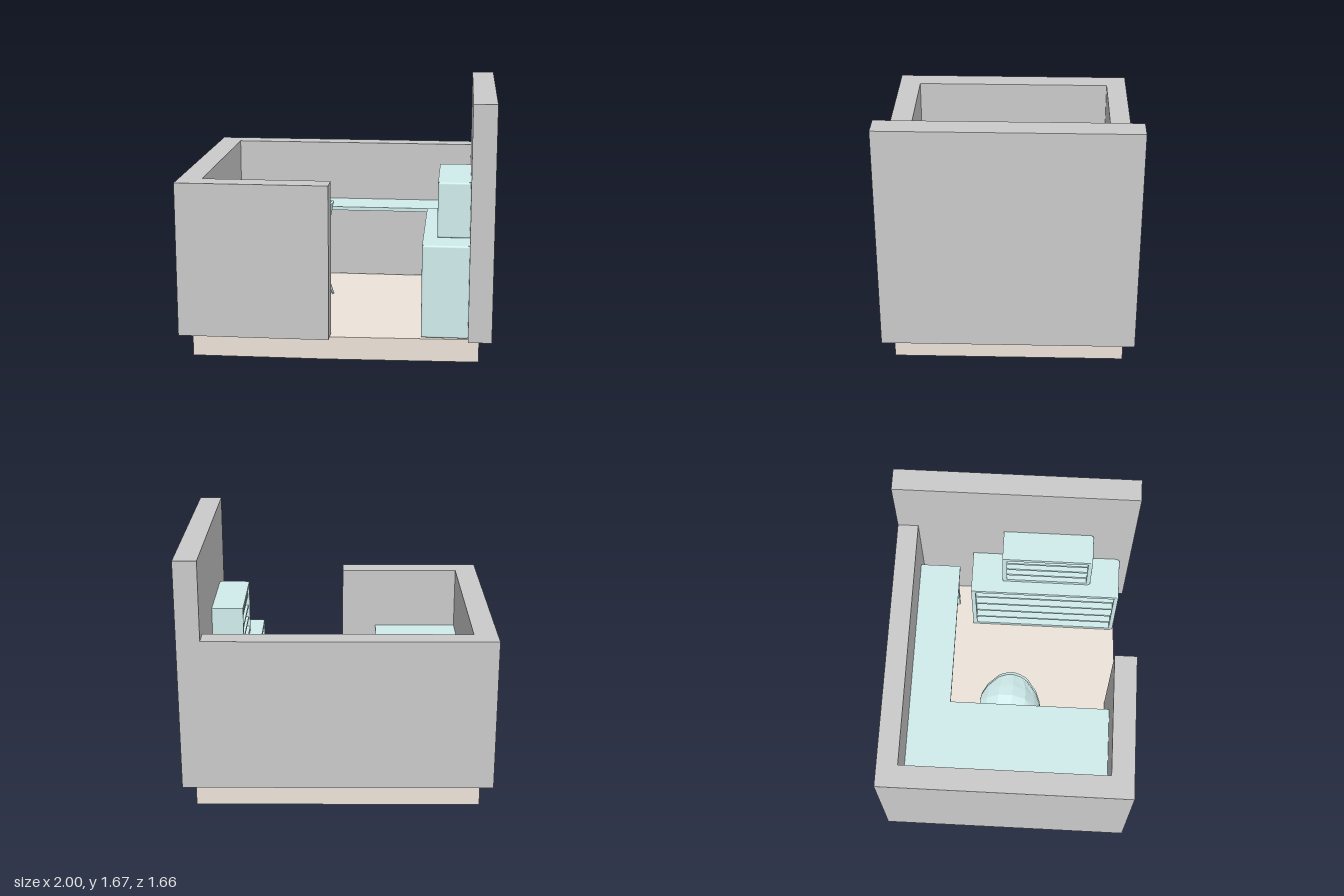
import * as THREE from 'three';
import { RoundedBoxGeometry } from 'three/addons/geometries/RoundedBoxGeometry.js';

const grey = new THREE.MeshStandardMaterial({ color: 0xcccccc });
const beige = new THREE.MeshStandardMaterial({ color: 0xeee4da });
const teal = new THREE.MeshStandardMaterial({ color: 0xd2eeee });
const tealFacet = new THREE.MeshStandardMaterial({ color: 0xd2eeee, flatShading: true, side: THREE.DoubleSide });

function add(parent, name, geometry, material) {
  const mesh = new THREE.Mesh(geometry, material);
  mesh.name = name;
  parent.add(mesh);
  return mesh;
}

// Plan outline of [x, z] points raised from y0 to y1
function slab(points, y0, y1) {
  const shape = new THREE.Shape(points.map(([x, z]) => new THREE.Vector2(x, -z)));
  const g = new THREE.ExtrudeGeometry(shape, { depth: y1 - y0, bevelEnabled: false });
  return g.rotateX(-Math.PI / 2).translate(0, y0, 0);
}

// Box given by its extents
function block(x0, x1, y0, y1, z0, z1, radius = 0) {
  const s = [x1 - x0, y1 - y0, z1 - z0];
  const g = radius ? new RoundedBoxGeometry(...s, 3, radius) : new THREE.BoxGeometry(...s);
  return g.translate((x0 + x1) / 2, (y0 + y1) / 2, (z0 + z1) / 2);
}

// Straight bar between two points
function rod(parent, name, a, b, r0, r1 = r0) {
  const from = new THREE.Vector3(...a), to = new THREE.Vector3(...b);
  const dir = to.clone().sub(from);
  const mesh = add(parent, name, new THREE.CylinderGeometry(r1, r0, dir.length(), 6), tealFacet);
  mesh.position.copy(from).add(to).multiplyScalar(0.5);
  mesh.quaternion.setFromUnitVectors(new THREE.Vector3(0, 1, 0), dir.normalize());
}

// Open shelf unit facing -x
function shelfUnit(name, x0, x1, y0, y1, z0, z1, bays) {
  const unit = new THREE.Group();
  unit.name = name;
  const t = 0.03;
  add(unit, 'frontEndPanel', block(x0, x1, y0, y1, z1 - t, z1, 0.012), teal);
  add(unit, 'backEndPanel', block(x0, x1, y0, y1, z0, z0 + t), teal);
  add(unit, 'topPanel', block(x0, x1, y1 - t, y1, z0 + t / 2, z1 - t / 2), teal);
  add(unit, 'bottomPanel', block(x0, x1, y0, y0 + t, z0 + t / 2, z1 - t / 2), teal);
  add(unit, 'rearPanel', block(x1 - 0.02, x1, y0 + t, y1 - t, z0 + t, z1 - t), teal);
  for (let i = 1; i < bays; i++) {
    const y = y0 + ((y1 - y0) * i) / bays;
    add(unit, 'shelf', block(x0 + 0.01, x1 - 0.02, y - 0.01, y + 0.01, z0 + t, z1 - t), teal);
  }
  return unit;
}

// Moulded seat and back, lofted from closed cross-sections along a side profile
function seatShell() {
  // along, height, half width, edge lift, edge wrap towards the sitter
  const rows = [
    [-0.21, 0.545, 0.15, 0.02, 0],
    [-0.12, 0.55, 0.19, 0.05, 0],
    [0.0, 0.535, 0.205, 0.085, 0.01],
    [0.1, 0.545, 0.21, 0.1, 0.05],
    [0.16, 0.62, 0.21, 0.07, 0.1],
    [0.195, 0.73, 0.2, 0.02, 0.11],
    [0.215, 0.83, 0.165, -0.02, 0.08],
    [0.222, 0.87, 0.1, -0.015, 0.03],
  ];
  const across = [-1, -0.8, -0.45, 0, 0.45, 0.8, 1];
  const n = across.length * 2, thick = 0.018, pos = [], index = [];
  rows.forEach(([u, y, w, lift, wrap], i) => {
    const p = rows[Math.max(i - 1, 0)], q = rows[Math.min(i + 1, rows.length - 1)];
    const du = q[0] - p[0], dy = q[1] - p[1], len = Math.hypot(du, dy);
    const point = (s, off) => pos.push(
      u - wrap * s * s + (off * dy) / len, y + lift * s * s - (off * du) / len, w * s);
    across.forEach((s) => point(s, 0));
    [...across].reverse().forEach((s) => point(s, thick));
  });
  for (let i = 0; i < rows.length - 1; i++) {
    for (let j = 0; j < n; j++) {
      const a = i * n + j, b = i * n + ((j + 1) % n);
      index.push(a, b, a + n, b, b + n, a + n);
    }
  }
  // Front and top rims
  const last = (rows.length - 1) * n;
  for (let j = 0; j < across.length - 1; j++) {
    const k = n - 1 - j;
    index.push(j, k, j + 1, j + 1, k, k - 1);
    index.push(last + j, last + j + 1, last + k, last + j + 1, last + k - 1, last + k);
  }
  const g = new THREE.BufferGeometry();
  g.setAttribute('position', new THREE.Float32BufferAttribute(pos, 3));
  g.setIndex(index);
  g.computeVertexNormals();
  return g;
}

function buildChair() {
  const chair = new THREE.Group();
  chair.name = 'chair';
  add(chair, 'seatShell', seatShell(), tealFacet);
  const top = 0.53, foot = 0.155;
  // Point on the leg of corner (sx, sz) at height y
  const onLeg = (sx, sz, y) => {
    const d = 0.09 + (0.1 * (top - y)) / (top - foot);
    return [sx * d, y, sz * d];
  };
  for (const sx of [-1, 1]) {
    for (const sz of [-1, 1]) {
      rod(chair, 'chairLeg', onLeg(sx, sz, foot), onLeg(sx, sz, top + 0.01), 0.009, 0.013);
      rod(chair, 'sideBrace', onLeg(sx, sz, 0.38), onLeg(-sx, sz, 0.51), 0.005);
      rod(chair, 'crossBrace', onLeg(sx, sz, 0.38), onLeg(sx, -sz, 0.51), 0.005);
    }
    rod(chair, 'underSeatBar', onLeg(sx, -1, 0.52), onLeg(sx, 1, 0.52), 0.007);
    rod(chair, 'underSeatBar', onLeg(-1, sx, 0.52), onLeg(1, sx, 0.52), 0.007);
  }
  chair.position.set(-0.32, 0, -0.01);
  chair.rotation.y = -0.12;
  return chair;
}

export function createModel() {
  const room = new THREE.Group();
  room.name = 'officeBooth';

  // Floor with a slightly slanted front edge
  add(room, 'floor', slab([[-0.92, -0.76], [0.92, -0.76], [0.92, 0.72], [-0.08, 0.755], [-0.92, 0.76]], 0, 0.15), beige);

  // Low walls on three sides and a tall one on the left
  add(room, 'lowWalls', slab([
    [-1, -0.83], [0.85, -0.83], [0.85, -0.69], [-0.85, -0.69],
    [-0.85, 0.68], [-0.03, 0.68], [-0.03, 0.83], [-1, 0.83],
  ], 0.155, 1.155), grey);
  add(room, 'tallWall', block(0.85, 1, 0.155, 1.67, -0.83, 0.795), grey);

  // Corner desk
  const desk = new THREE.Group();
  desk.name = 'desk';
  add(desk, 'deskTop', slab([
    [-0.85, -0.69], [0.75, -0.69], [0.75, -0.41], [-0.27, -0.41], [-0.27, 0.68], [-0.85, 0.68],
  ], 0.71, 0.735), teal);
  const legs = [[-0.18, -0.45], [0.72, -0.45], [0.72, -0.66], [-0.82, -0.66], [-0.82, 0.64], [-0.31, 0.64]];
  for (const [x, z] of legs) {
    add(desk, 'deskLeg', block(x - 0.02, x + 0.02, 0.15, 0.71, z - 0.02, z + 0.02), teal);
  }
  room.add(desk);

  // Stacked shelves along the tall wall
  room.add(shelfUnit('lowerShelves', 0.55, 0.85, 0.155, 0.762, -0.32, 0.725, 5));
  room.add(shelfUnit('upperShelves', 0.64, 0.85, 0.762, 1.125, -0.1, 0.52, 4));

  room.add(buildChair());
  return room;
}
